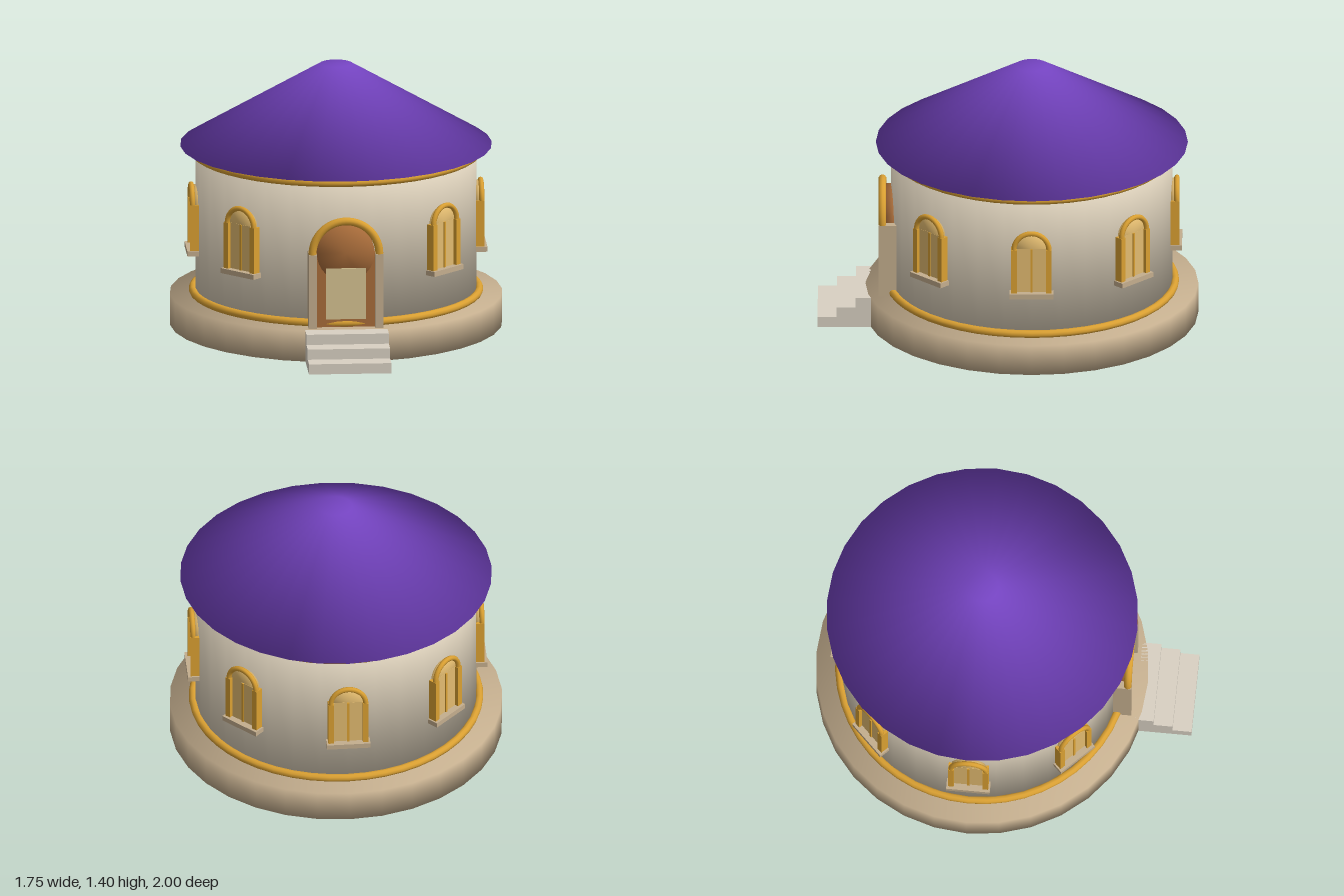
import * as THREE from 'three';

const mat = (name, color) => {
  const m = new THREE.MeshStandardMaterial({ color });
  m.name = name;
  return m;
};

export function createModel() {
  const wallCream = mat('wall cream', 0xddd1bb);
  const stone = mat('plinth stone', 0xc4ae8e);
  const stepStone = mat('step stone', 0xd9d1c3);
  const purple = mat('roof purple', 0x7544c2);
  const gold = mat('gold trim', 0xdaa032);
  const amber = mat('window amber', 0xe2bb70);
  const brown = mat('door brown', 0xa86c3a);
  const khaki = mat('door panel khaki', 0xd6c391);

  const model = new THREE.Group();
  model.name = 'roundHouse';

  function add(parent, name, geometry, material, x = 0, y = 0, z = 0) {
    const mesh = new THREE.Mesh(geometry, material);
    mesh.name = name;
    mesh.position.set(x, y, z);
    parent.add(mesh);
    return mesh;
  }

  // Box given by its centre x, y range and z range
  function box(parent, name, material, w, x, y0, y1, z0, z1) {
    return add(parent, name, new THREE.BoxGeometry(w, y1 - y0, z1 - z0), material,
      x, (y0 + y1) / 2, (z0 + z1) / 2);
  }

  // Turned solid whose normals are averaged softly across its edges
  function softLathe(profile, segments = 32) {
    const pts = profile.map(([x, y]) => new THREE.Vector2(x, y));
    const geo = new THREE.LatheGeometry(pts, segments);
    const seg = pts.slice(1).map((p, i) => {
      const d = p.clone().sub(pts[i]).normalize();
      return new THREE.Vector2(d.y, -d.x);
    });
    const rings = pts.map((_, j) =>
      (seg[j - 1] || seg[j]).clone().add(seg[j] || seg[j - 1]).normalize());
    const normal = geo.attributes.normal;
    for (let i = 0; i < normal.count; i++) {
      const n = rings[i % pts.length];
      const a = Math.floor(i / pts.length) / segments * Math.PI * 2;
      normal.setXYZ(i, n.x * Math.sin(a), n.y, n.x * Math.cos(a));
    }
    return geo;
  }

  const drum = (r, y0, y1, top = r) => softLathe([[0, y0], [r, y0], [top, y1], [0, y1]]);
  const disc = (r, depth) => drum(r, -depth / 2, depth / 2).rotateX(Math.PI / 2);

  // Round body, centred slightly behind the origin to leave room for the steps
  const body = new THREE.Group();
  body.name = 'body';
  body.position.z = -0.125;
  model.add(body);
  add(body, 'plinth', drum(0.875, 0, 0.165), stone);
  add(body, 'wall', drum(0.74, 0.165, 0.965), wallCream);
  add(body, 'roof', drum(0.82, 0.965, 1.4, 0.085), purple);
  for (const [name, y] of [['lowerTrim', 0.182], ['upperTrim', 0.941]]) {
    add(body, name, new THREE.TorusGeometry(0.753, 0.021, 10, 48).rotateX(Math.PI / 2), gold, 0, y);
  }

  // Seven arched windows; the eighth bay holds the door
  for (let k = 1; k < 8; k++) {
    const win = new THREE.Group();
    win.name = 'window' + k;
    win.rotation.y = k * Math.PI / 4;
    body.add(win);
    box(win, 'sill', stone, 0.23, 0, 0.395, 0.422, 0.72, 0.79);
    box(win, 'pane', amber, 0.16, 0, 0.42, 0.668, 0.725, 0.755);
    add(win, 'archPane', disc(0.09, 0.03), amber, 0, 0.665, 0.739);
    box(win, 'mullion', gold, 0.012, 0, 0.42, 0.668, 0.74, 0.762);
    for (const s of [-1, 1]) {
      box(win, 'jamb', gold, 0.03, s * 0.091, 0.42, 0.668, 0.72, 0.775);
    }
    add(win, 'arch', new THREE.TorusGeometry(0.092, 0.014, 8, 20, Math.PI), gold, 0, 0.665, 0.762);
  }

  // Arched doorway
  const door = new THREE.Group();
  door.name = 'door';
  model.add(door);
  box(door, 'doorLeaf', brown, 0.31, 0, 0.165, 0.565, 0.59, 0.642);
  add(door, 'doorArch', disc(0.152, 0.05), brown, 0, 0.565, 0.625);
  box(door, 'doorPanel', khaki, 0.21, 0, 0.21, 0.485, 0.646, 0.655);
  for (const s of [-1, 1]) {
    box(door, 'doorJamb', stone, 0.042, s * 0.175, 0.165, 0.565, 0.58, 0.68);
  }
  add(door, 'doorArchTrim', new THREE.TorusGeometry(0.176, 0.021, 10, 28, Math.PI), gold, 0, 0.565, 0.66);

  // Three entrance steps
  for (let i = 0; i < 3; i++) {
    box(model, 'step' + (i + 1), stepStone, 0.434, 0, i * 0.055, (i + 1) * 0.055, 0.7, 1 - i * 0.1);
  }

  return model;
}
